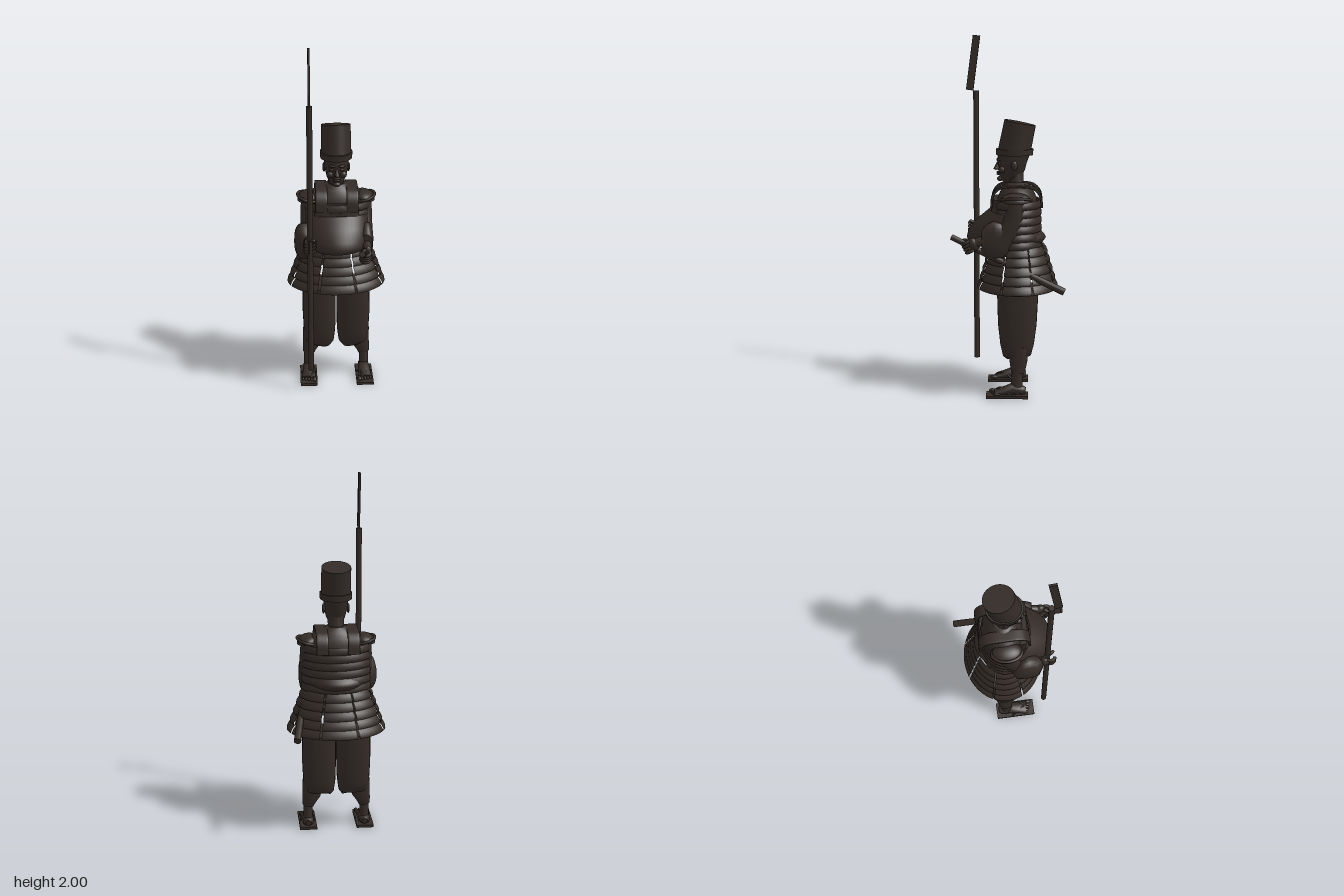
import * as THREE from 'three';

const mat = new THREE.MeshStandardMaterial({ color: 0x332b27, side: THREE.DoubleSide });
const V = (x, y, z) => new THREE.Vector3(x, y, z);

function add(parent, name, geo, pos = [0, 0, 0], scale = [1, 1, 1], rot = [0, 0, 0]) {
  const m = new THREE.Mesh(geo, mat);
  m.name = name;
  m.position.set(...pos);
  m.scale.set(...scale);
  m.rotation.set(...rot);
  parent.add(m);
  return m;
}
const ball = (parent, name, pos, scale, rot) => add(parent, name, new THREE.SphereGeometry(1, 20, 14), pos, scale, rot);

// Skin over elliptical rings [x, y, z, halfWidth, halfDepth] set square to their path.
// A power below 1 makes the rings boxier.
function loft(rings, { power = 1, capped = true, segs = 28 } = {}) {
  const pos = [], idx = [], n = rings.length;
  const centre = rings.map(r => V(r[0], r[1], r[2]));
  const bend = c => Math.sign(c) * Math.pow(Math.abs(c), power);
  rings.forEach((r, i) => {
    const t = centre[Math.min(i + 1, n - 1)].clone().sub(centre[Math.max(i - 1, 0)]).normalize();
    const u = V(1, 0, 0).addScaledVector(t, -t.x).normalize();
    const v = t.clone().cross(u);
    for (let j = 0; j < segs; j++) {
      const a = j / segs * Math.PI * 2;
      const p = centre[i].clone().addScaledVector(u, bend(Math.cos(a)) * r[3]).addScaledVector(v, bend(Math.sin(a)) * r[4]);
      pos.push(p.x, p.y, p.z);
    }
  });
  for (let i = 0; i < n - 1; i++) for (let j = 0; j < segs; j++) {
    const a = i * segs + j, b = i * segs + (j + 1) % segs;
    idx.push(a, b, a + segs, b, b + segs, a + segs);
  }
  if (capped) for (const end of [0, n - 1]) {
    const start = pos.length / 3, from = end * segs;
    for (let j = 0; j < segs; j++) pos.push(...pos.slice((from + j) * 3, (from + j) * 3 + 3));
    pos.push(...centre[end].toArray());
    for (let j = 0; j < segs; j++) {
      const a = start + j, b = start + (j + 1) % segs;
      idx.push(start + segs, ...(end ? [a, b] : [b, a]));
    }
  }
  const g = new THREE.BufferGeometry();
  g.setAttribute('position', new THREE.Float32BufferAttribute(pos, 3));
  g.setIndex(idx);
  g.computeVertexNormals();
  return g;
}

// Profile of overlapping armour rows from bottom to top
function lames(rows, y0, y1, r0, r1) {
  const pts = [], h = (y1 - y0) / rows;
  for (let i = 0; i < rows; i++) {
    const r = k => r0 + (r1 - r0) * (i + k) / rows;
    pts.push([r(0) - 0.008, y0 + i * h], [r(0), y0 + (i + 0.06) * h], [r(0.3) + 0.003, y0 + (i + 0.35) * h],
      [r(0.7), y0 + (i + 0.7) * h], [r(1) - 0.008, y0 + (i + 1) * h]);
  }
  return pts.map(p => new THREE.Vector2(...p));
}

// Closed fist around a grip that runs along local y; the palm lies on the -z side
function fist(parent, name, pos, dir, side) {
  const g = new THREE.Group();
  g.name = name;
  g.position.copy(pos);
  g.quaternion.setFromUnitVectors(V(0, 1, 0), dir.clone().normalize());
  ball(g, 'palm', [side * 0.014, 0, -0.02], [0.024, 0.038, 0.03]);
  for (let i = 0; i < 4; i++) {
    add(g, 'finger', new THREE.TorusGeometry(0.025, 0.0095, 8, 16, Math.PI * 1.35),
      [0, -0.027 + i * 0.018, 0.012], [1, 1, 1], [Math.PI / 2, 0, side > 0 ? -0.9 : 0.3 + Math.PI / 2]);
  }
  add(g, 'thumb', new THREE.CapsuleGeometry(0.01, 0.035, 4, 10), [-side * 0.012, 0.036, 0.012], [1, 1, 1], [1.3, 0, side * 0.5]);
  parent.add(g);
}

export function createModel() {
  const model = new THREE.Group();
  model.name = 'armouredSoldier';
  const bodyZ = -0.05;

  // Head and face
  const head = new THREE.Group();
  head.name = 'head';
  model.add(head);
  add(head, 'skull', loft([
    [0, 1.195, 0.028, 0.018, 0.022], [0, 1.21, 0.017, 0.036, 0.043], [0, 1.24, -0.008, 0.054, 0.066],
    [0, 1.275, -0.018, 0.063, 0.078], [0, 1.31, -0.022, 0.067, 0.082], [0, 1.36, -0.034, 0.07, 0.088]]));
  add(head, 'neck', loft([[0, 1.14, -0.05, 0.058, 0.052], [0, 1.19, -0.044, 0.045, 0.043], [0, 1.27, -0.04, 0.047, 0.045]]));
  add(head, 'nose', new THREE.ConeGeometry(0.015, 0.055, 12), [0, 1.287, 0.061], [1, 1, 1.1], [-0.2, 0, 0]);
  ball(head, 'noseTip', [0, 1.267, 0.067], [0.014, 0.01, 0.013]);
  for (const y of [1.234, 1.245]) ball(head, 'lip', [0, y, 0.053], [0.021, 0.006, 0.012]);
  ball(head, 'chin', [0, 1.208, 0.045], [0.022, 0.014, 0.018]);
  for (const s of [-1, 1]) {
    ball(head, 'eye', [s * 0.027, 1.294, 0.049], [0.014, 0.007, 0.008]);
    ball(head, 'brow', [s * 0.028, 1.315, 0.052], [0.02, 0.007, 0.011], [0, s * 0.4, 0]);
    ball(head, 'cheek', [s * 0.036, 1.262, 0.033], [0.02, 0.02, 0.02]);
    ball(head, 'ear', [s * 0.068, 1.285, -0.035], [0.009, 0.028, 0.018], [0.15, 0, 0]);
  }

  // Tall leaning hat with its headband
  add(model, 'hat', new THREE.CylinderGeometry(0.081, 0.083, 0.165, 48), [0, 1.44, -0.05], [1, 1, 1.09], [-0.2, 0, 0]);
  add(model, 'hatBand', new THREE.CylinderGeometry(0.09, 0.088, 0.034, 48), [0, 1.358, -0.036], [1, 1, 1.16]);

  // Shoulders, banded cuirass and the rounded belly panel
  add(model, 'shoulders', loft([
    [0, 1.03, bodyZ, 0.165, 0.12], [0, 1.1, bodyZ, 0.168, 0.11], [0, 1.135, bodyZ, 0.15, 0.095],
    [0, 1.165, bodyZ, 0.105, 0.078], [0, 1.19, bodyZ, 0.055, 0.052]]));
  add(model, 'cuirass', new THREE.LatheGeometry(lames(6, 0.83, 1.095, 0.193, 0.188), 64), [0, 0, bodyZ + 0.005], [1, 1, 0.74]);
  add(model, 'chestPlate', loft([[0, 1.03, 0.055, 0.125, 0.04], [0, 1.1, 0.05, 0.12, 0.035]], { power: 0.6 }));
  add(model, 'bellyPanel', loft([
    [0, 0.845, 0.01, 0.16, 0.15], [0, 0.855, 0.01, 0.178, 0.205], [0, 0.88, 0.01, 0.188, 0.222],
    [0, 0.91, 0.01, 0.188, 0.213], [0, 0.96, 0.005, 0.183, 0.17], [0, 1.02, -0.005, 0.172, 0.112]], { segs: 48 }));

  // Eight flared skirt panels with narrow gaps
  for (let i = 0; i < 8; i++) {
    const step = Math.PI / 4, gap = 0.045;
    add(model, 'skirtPanel', new THREE.LatheGeometry(lames(5, 0.595, 0.84, 0.279, 0.19), 10, (i - 0.5) * step + gap / 2, step - gap),
      [0, 0, bodyZ - 0.003], [1, 1, 0.815]);
  }

  // Flat straps arching over the shoulders
  const strapLine = new THREE.CatmullRomCurve3([[1.06, 0.09], [1.125, 0.082], [1.165, 0.045], [1.175, -0.05],
    [1.165, -0.14], [1.125, -0.178], [1.06, -0.188]].map(([y, z]) => V(0, y, z)));
  for (const s of [-1, 1]) {
    const strap = strapLine.getPoints(24).map(p => [s * 0.086, p.y, p.z, 0.033, 0.007]);
    add(model, 'shoulderStrap', loft(strap, { power: 0.35 }));
    add(model, 'shoulderGuard', new THREE.SphereGeometry(1, 28, 12, 0, Math.PI * 2, 0, Math.PI / 2),
      [s * 0.158, 1.105, bodyZ + 0.005], [0.06, 0.04, 0.083], [0, 0, -s * 0.25]);
    add(model, 'shoulderGuardRim', new THREE.TorusGeometry(0.06, 0.008, 8, 32),
      [s * 0.158, 1.108, bodyZ + 0.005], [1, 1.36, 1], [Math.PI / 2, s * 0.25, 0]);
  }

  // Sleeves and forearms; the right sleeve hangs wider
  for (const s of [-1, 1]) {
    const wide = s < 0 ? 0.024 : 0, lower = s < 0 ? 0 : -0.035;
    add(model, 'upperSleeve', loft([
      [s * 0.165, 1.11, -0.045, 0.03, 0.045], [s * 0.165, 1.03, -0.04, 0.036, 0.05],
      [s * 0.167, 0.94, -0.01, 0.036, 0.055], [s * 0.168, 0.88, 0.03, 0.036, 0.06]]));
    add(model, 'hangingSleeve', loft([
      [s * 0.165, 0.9, -0.01, 0.025, 0.05], [s * (0.165 + wide / 2), 0.89, 0.02, 0.036 + wide, 0.095],
      [s * (0.165 + wide / 2), 0.885, 0.07, 0.038 + wide, 0.11], [s * (0.162 + wide / 2), 0.885, 0.115, 0.034 + wide, 0.09],
      [s * 0.16, 0.885, 0.14, 0.034, 0.06]], { power: 0.85 }));
    add(model, 'forearm', loft([
      [s * 0.162, 0.89, 0.08, 0.034, 0.034], [s * 0.163, 0.9 + lower / 2, 0.14, 0.025, 0.026],
      [s * 0.163, 0.905 + lower, 0.175, 0.023, 0.026]]));
  }

  // Spear in the right hand
  add(model, 'spearShaft', new THREE.CylinderGeometry(0.016, 0.016, 1.55, 16), [-0.152, 0.915, 0.184]);
  add(model, 'spearBlade', new THREE.BoxGeometry(0.012, 0.308, 0.042), [-0.153, 1.845, 0.2], [1, 1, 1], [-0.13, 0, 0]);
  fist(model, 'rightHand', V(-0.152, 0.905, 0.19), V(0, 1, 0), -1);

  // Sheathed sword slung at the left hip
  const hilt = V(0.127, 0.898, 0.31), tip = V(0.235, 0.614, -0.31);
  const line = hilt.clone().sub(tip);
  const sword = add(model, 'sword', new THREE.CylinderGeometry(0.016, 0.02, line.length(), 16), hilt.clone().add(tip).multiplyScalar(0.5).toArray());
  sword.quaternion.setFromUnitVectors(V(0, 1, 0), line.clone().normalize());
  fist(model, 'leftHand', V(0.15, 0.855, 0.205), V(0, 1, 0.5), 1);

  // Legs, mirrored
  for (const s of [-1, 1]) {
    const leg = new THREE.Group();
    leg.name = s > 0 ? 'leftLeg' : 'rightLeg';
    model.add(leg);
    add(leg, 'trouserLeg', loft([
      [s * 0.1, 0.215, -0.055, 0.07, 0.06], [s * 0.097, 0.225, -0.052, 0.083, 0.08], [s * 0.097, 0.29, -0.052, 0.092, 0.095],
      [s * 0.098, 0.4, -0.053, 0.096, 0.108], [s * 0.098, 0.58, -0.055, 0.096, 0.115]], { power: 0.8 }));
    add(leg, 'gaiter', loft([
      [s * 0.162, 0.135, -0.056, 0.033, 0.036], [s * 0.157, 0.16, -0.058, 0.039, 0.042],
      [s * 0.142, 0.2, -0.06, 0.052, 0.05], [s * 0.135, 0.28, -0.06, 0.058, 0.056]], { power: 0.85 }));
    add(leg, 'ankle', loft([
      [s * 0.162, 0.02, -0.055, 0.03, 0.036], [s * 0.162, 0.06, -0.05, 0.027, 0.034], [s * 0.162, 0.15, -0.053, 0.026, 0.028]]));
    add(leg, 'foot', loft([
      [s * 0.162, 0.035, -0.1, 0.016, 0.018], [s * 0.162, 0.037, -0.085, 0.03, 0.025], [s * 0.162, 0.045, -0.03, 0.033, 0.035],
      [s * 0.163, 0.034, 0.02, 0.037, 0.023], [s * 0.163, 0.026, 0.07, 0.041, 0.013]]));
    for (let i = 0; i < 5; i++) {
      const r = i ? 0.0085 : 0.012;
      ball(leg, 'toe', [s * (0.131 + i * 0.0165), 0.013 + r, 0.085 - i * 0.006], [r, r, 0.02]);
    }
    add(leg, 'sandal', new THREE.BoxGeometry(0.098, 0.015, 0.234), [s * 0.163, 0.0075, 0.003]);
    for (const k of [-1, 1]) {
      const strap = new THREE.QuadraticBezierCurve3(V(s * 0.147, 0.03, 0.075), V(s * 0.163 + k * 0.02, 0.07, 0.03), V(s * 0.163 + k * 0.042, 0.015, -0.02));
      add(leg, 'sandalStrap', new THREE.TubeGeometry(strap, 14, 0.005, 6));
    }
  }
  return model;
}
